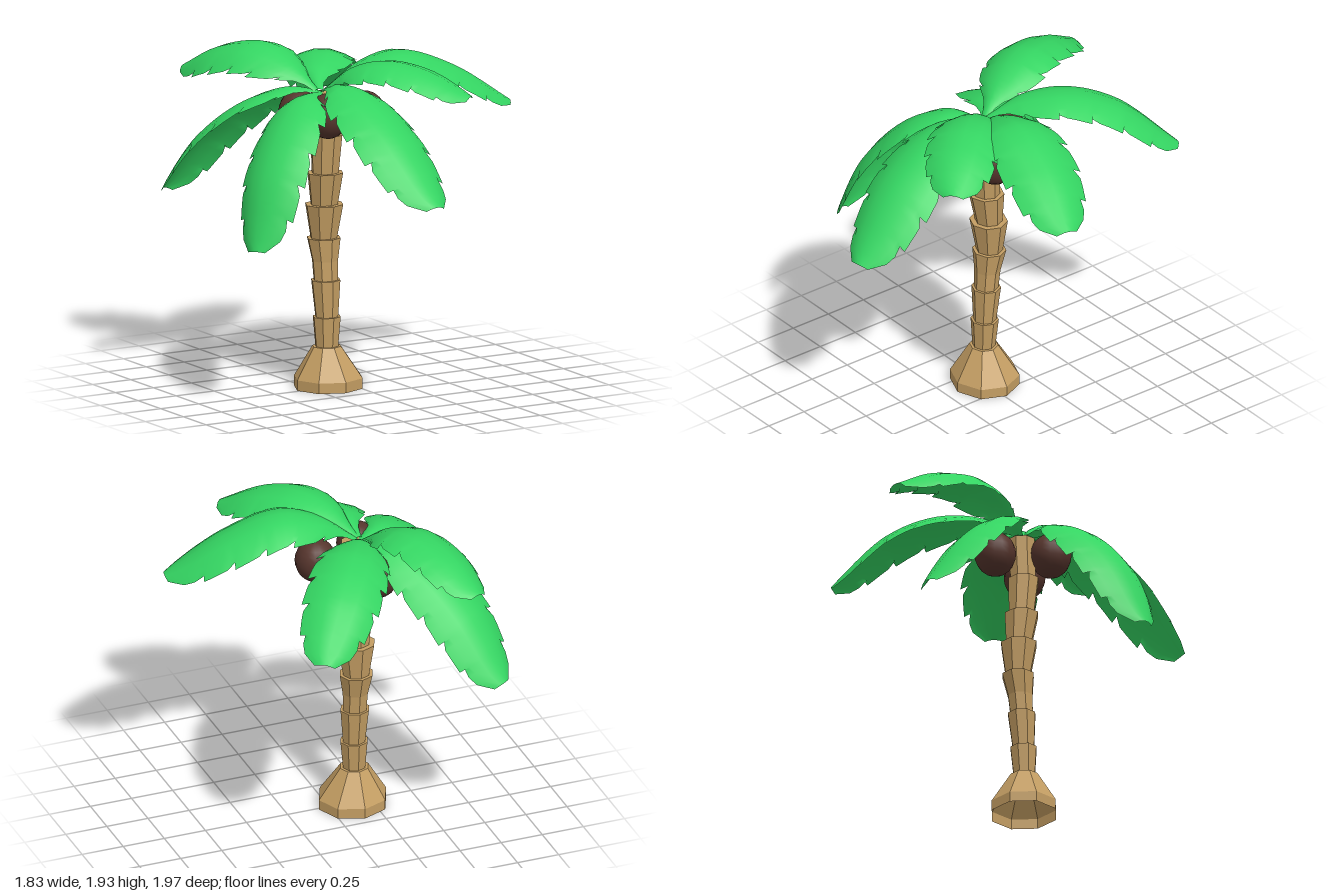
import * as THREE from 'three';

const leafGreen = new THREE.MeshStandardMaterial({ color: 0x34d562, side: THREE.DoubleSide });
leafGreen.name = 'leafGreen';
const bark = new THREE.MeshStandardMaterial({ color: 0xc49e63, flatShading: true, side: THREE.DoubleSide });
bark.name = 'bark';
const huskBrown = new THREE.MeshStandardMaterial({ color: 0x56352d });
huskBrown.name = 'huskBrown';

// Half width of a frond along its length
const ENVELOPE = [[0, 0.025], [0.08, 0.045], [0.14, 0.1], [0.21, 0.17], [0.32, 0.22], [0.5, 0.235], [0.7, 0.225], [0.85, 0.19], [0.94, 0.14], [1, 0.06]];

function envelope(t) {
  const i = ENVELOPE.findIndex(([end], k) => k > 0 && t <= end);
  const [t0, w0] = ENVELOPE[i - 1], [t1, w1] = ENVELOPE[i];
  return w0 + ((w1 - w0) * (t - t0)) / (t1 - t0);
}

// Eight-sided trunk: rings of [y, x, z, radius], doubled where a segment steps in
function makeTrunk() {
  const rings = [
    [0, -0.14, -0.012, 0.204], [0.06, -0.14, -0.012, 0.204], [0.24, -0.15, -0.013, 0.085],
    [0.24, -0.15, -0.013, 0.068], [0.41, -0.148, -0.017, 0.083],
    [0.41, -0.148, -0.017, 0.068], [0.62, -0.148, -0.028, 0.087],
    [0.62, -0.148, -0.028, 0.072], [0.73, -0.148, -0.036, 0.077], [0.86, -0.148, -0.05, 0.1],
    [0.86, -0.148, -0.05, 0.079], [1.055, -0.148, -0.045, 0.113],
    [1.055, -0.148, -0.045, 0.081], [1.24, -0.15, -0.03, 0.106],
    [1.24, -0.15, -0.03, 0.08], [1.46, -0.15, -0.018, 0.095],
    [1.46, -0.15, -0.02, 0.08], [1.7, -0.15, -0.03, 0.085], [1.71, -0.15, -0.03, 0.002],
  ];
  const geo = new THREE.CylinderGeometry(1, 1, 1, 8, rings.length - 1, true);
  const pos = geo.attributes.position;
  for (let i = 0; i < pos.count; i++) {
    const [y, x, z, r] = rings[rings.length - 1 - Math.floor(i / 9)];
    pos.setXYZ(i, x + pos.getX(i) * r, y, z + pos.getZ(i) * r * 0.95);
  }
  geo.computeVertexNormals();
  const trunk = new THREE.Mesh(geo, bark);
  trunk.name = 'trunk';
  return trunk;
}

// Domed frond along a curve, with saw-toothed leaflets pointing to the tip
function makeFrond(points, scale, roll, teeth = 6) {
  const curve = new THREE.CatmullRomCurve3(points.map((p) => new THREE.Vector3(...p)));
  const first = points[0], last = points[points.length - 1];
  const level = new THREE.Vector3(-(last[2] - first[2]), 0, last[0] - first[0]).normalize();

  // Each row: position along the spine, forward shift and trim of its edge
  const rows = [];
  const d = 1 / teeth;
  for (let k = 0; k < teeth; k++) {
    const a = k * d;
    rows.push([a + (k ? 0.02 : 0), -0.012, k ? 0.84 : 1], [a + 0.35 * d, 0, 0.97], [a + 0.65 * d, 0, 1], [a + 0.93 * d, 0.03, 1.03]);
  }
  rows.push([1, 0, 1]);

  const across = [-1, -0.75, -0.4, 0, 0.4, 0.75, 1];
  const n = across.length;
  const verts = [], index = [];
  rows.forEach(([t, shift, trim], j) => {
    for (const u of across) {
      const edge = Math.abs(u) === 1;
      const s = THREE.MathUtils.clamp(edge ? t + shift : t, 0, 1);
      const c = curve.getPointAt(s);
      const tangent = curve.getTangentAt(s);
      // A positive roll raises the positive side
      const side = level.clone().applyAxisAngle(tangent, -roll * Math.min(1, s * 3));
      const up = new THREE.Vector3().crossVectors(side, tangent).normalize();
      const w = envelope(s) * scale * (edge ? trim : 1);
      c.addScaledVector(side, u * w).addScaledVector(up, -0.43 * w * u * u);
      verts.push(c.x, c.y, c.z);
    }
    if (j === 0) return;
    for (let i = 0; i < n - 1; i++) {
      const a = (j - 1) * n + i, b = a + n;
      index.push(a, b, a + 1, a + 1, b, b + 1);
    }
  });
  const geo = new THREE.BufferGeometry();
  geo.setAttribute('position', new THREE.Float32BufferAttribute(verts, 3));
  geo.setIndex(index.reverse());
  geo.computeVertexNormals();
  return new THREE.Mesh(geo, leafGreen);
}

export function createModel() {
  const model = new THREE.Group();
  model.name = 'palmTree';
  model.add(makeTrunk());

  // Fronds: spine points from the crown to the tip, width scale, roll
  const fronds = {
    backLowFrond: [[[-0.17, 1.71, -0.04], [-0.3, 1.73, -0.16], [-0.46, 1.64, -0.35], [-0.62, 1.42, -0.58], [-0.74, 1.07, -0.82]], 0.98, -0.2],
    backHighFrond: [[[-0.19, 1.72, -0.05], [-0.28, 1.86, -0.22], [-0.37, 1.93, -0.42], [-0.47, 1.88, -0.68], [-0.55, 1.74, -0.93]], 0.95, 0.2],
    backLeftFrond: [[[-0.18, 1.72, -0.05], [-0.1, 1.82, -0.23], [0.03, 1.85, -0.46], [0.2, 1.76, -0.71], [0.41, 1.5, -0.97]], 0.95, 0.15],
    leftFrond: [[[-0.16, 1.72, -0.03], [0.04, 1.86, 0.02], [0.28, 1.92, 0.06], [0.6, 1.81, 0.12], [0.92, 1.59, 0.21]], 1, 0],
    frontLeftFrond: [[[-0.17, 1.72, -0.02], [-0.06, 1.86, 0.11], [0.07, 1.915, 0.27], [0.24, 1.87, 0.46], [0.41, 1.74, 0.64]], 0.93, 0],
    frontFrond: [[[-0.17, 1.72, -0.02], [-0.16, 1.78, 0.14], [-0.13, 1.74, 0.37], [-0.09, 1.57, 0.66], [-0.02, 1.21, 0.99]], 1.03, 0],
    rightFrond: [[[-0.18, 1.71, -0.03], [-0.37, 1.72, 0.08], [-0.56, 1.62, 0.2], [-0.76, 1.36, 0.33], [-0.9, 0.95, 0.44]], 0.98, -0.25],
  };
  for (const [name, [points, scale, roll]] of Object.entries(fronds)) {
    const frond = makeFrond(points, scale, roll);
    frond.name = name;
    model.add(frond);
  }

  // Coconuts under the crown
  const nut = new THREE.SphereGeometry(0.118, 16, 12);
  [[0.055, 1.575, 0.065], [-0.215, 1.56, -0.212], [-0.22, 1.6, 0.12]].forEach(([x, y, z], i) => {
    const coconut = new THREE.Mesh(nut, huskBrown);
    coconut.name = 'coconut' + (i + 1);
    coconut.position.set(x, y, z);
    coconut.scale.y = 1.1;
    model.add(coconut);
  });
  return model;
}
